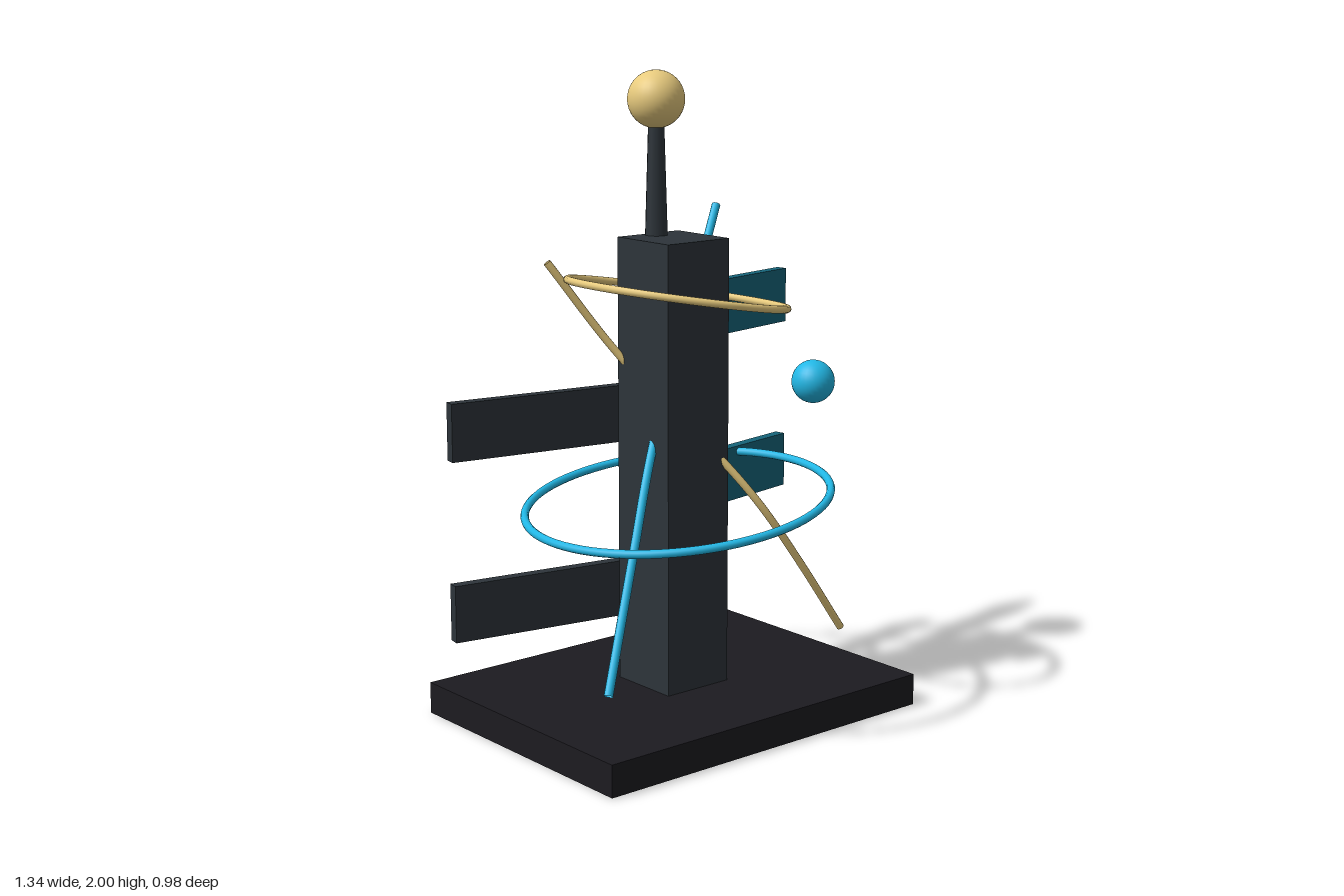
import * as THREE from 'three';

const mat = (color, side = THREE.FrontSide) => new THREE.MeshStandardMaterial({ color, side });
const charcoal = mat(0x2d343a);
const black = mat(0x1c1b20);
const teal = mat(0x15647a);
const gold = mat(0xe8cb7e, THREE.DoubleSide);
const cyan = mat(0x22b8e6, THREE.DoubleSide);
const cream = mat(0xe0d2c0);

export function createModel() {
  const model = new THREE.Group();
  model.name = 'tower';

  const add = (name, geometry, material, x = 0, y = 0, z = 0, parent = model) => {
    const mesh = new THREE.Mesh(geometry, material);
    mesh.name = name;
    mesh.position.set(x, y, z);
    parent.add(mesh);
    return mesh;
  };
  const box = (w, h, d) => new THREE.BoxGeometry(w, h, d);

  // Base, square column, tapered mast and ball finial
  add('base', box(1.22, 0.1, 0.92), black, 0, 0.05, -0.02);
  add('column', box(0.24, 1.4, 0.24), charcoal, 0, 0.8, -0.02);
  add('mast', new THREE.CylinderGeometry(0.025, 0.036, 0.36, 10), charcoal, 0, 1.67, -0.1);
  add('finial', new THREE.SphereGeometry(0.088, 32, 20), gold, 0, 1.912, -0.1);

  // Swept-back side panels, each with a long and a short strip on the back
  const panel = (name, side, y, material, longMaterial, shortMaterial) => {
    const group = new THREE.Group();
    group.name = name;
    group.position.set(side * 0.381, y, -0.207);
    group.rotation.y = side * THREE.MathUtils.degToRad(10);
    add('panelBoard', box(0.58, 0.178, 0.036), material, 0, 0, 0, group);
    add('longStrip', box(0.29, 0.02, 0.02), longMaterial, side * 0.005, 0.024, -0.026, group);
    add('shortStrip', box(0.2, 0.014, 0.02), shortMaterial, side * -0.04, -0.045, -0.026, group);
    model.add(group);
  };
  for (const y of [0.67, 1.23]) panel('leftPanel', 1, y, teal, gold, cyan);
  for (const y of [0.39, 0.95]) panel('rightPanel', -1, y, charcoal, cyan, cream);

  // Tilted rings around the column
  const ring = (name, radius, tube, y, tilt, material) => {
    const geometry = new THREE.TorusGeometry(radius, tube, 10, 80).rotateX(Math.PI / 2);
    add(name, geometry, material, 0, y, 0).rotation.z = THREE.MathUtils.degToRad(tilt);
  };
  ring('upperRing', 0.337, 0.012, 1.33, -10, gold);
  ring('lowerRing', 0.475, 0.013, 0.687, 7, cyan);

  // Curved rods passing through the column
  const rod = (name, points, radius, material) => {
    const curve = new THREE.CatmullRomCurve3(points.map((p) => new THREE.Vector3(...p)));
    add(name, new THREE.TubeGeometry(curve, 64, radius, 10), material);
  };
  rod('cyanRod', [
    [-0.48, 0.225, 0.26], [-0.28, 0.59, 0.13], [-0.12, 0.87, 0.025],
    [0.12, 1.17, -0.12], [0.38, 1.55, -0.26],
  ], 0.014, cyan);
  rod('goldRod', [
    [0.5, 0.225, 0.217], [0.34, 0.46, 0.2], [0.2, 0.665, 0.165],
    [0.11, 0.8, 0.1], [-0.12, 1.13, -0.125], [-0.32, 1.43, -0.23],
  ], 0.012, gold);

  // Floating ball
  add('orb', new THREE.SphereGeometry(0.068, 28, 18), cyan, 0.42, 1.03, 0.16);

  return model;
}
